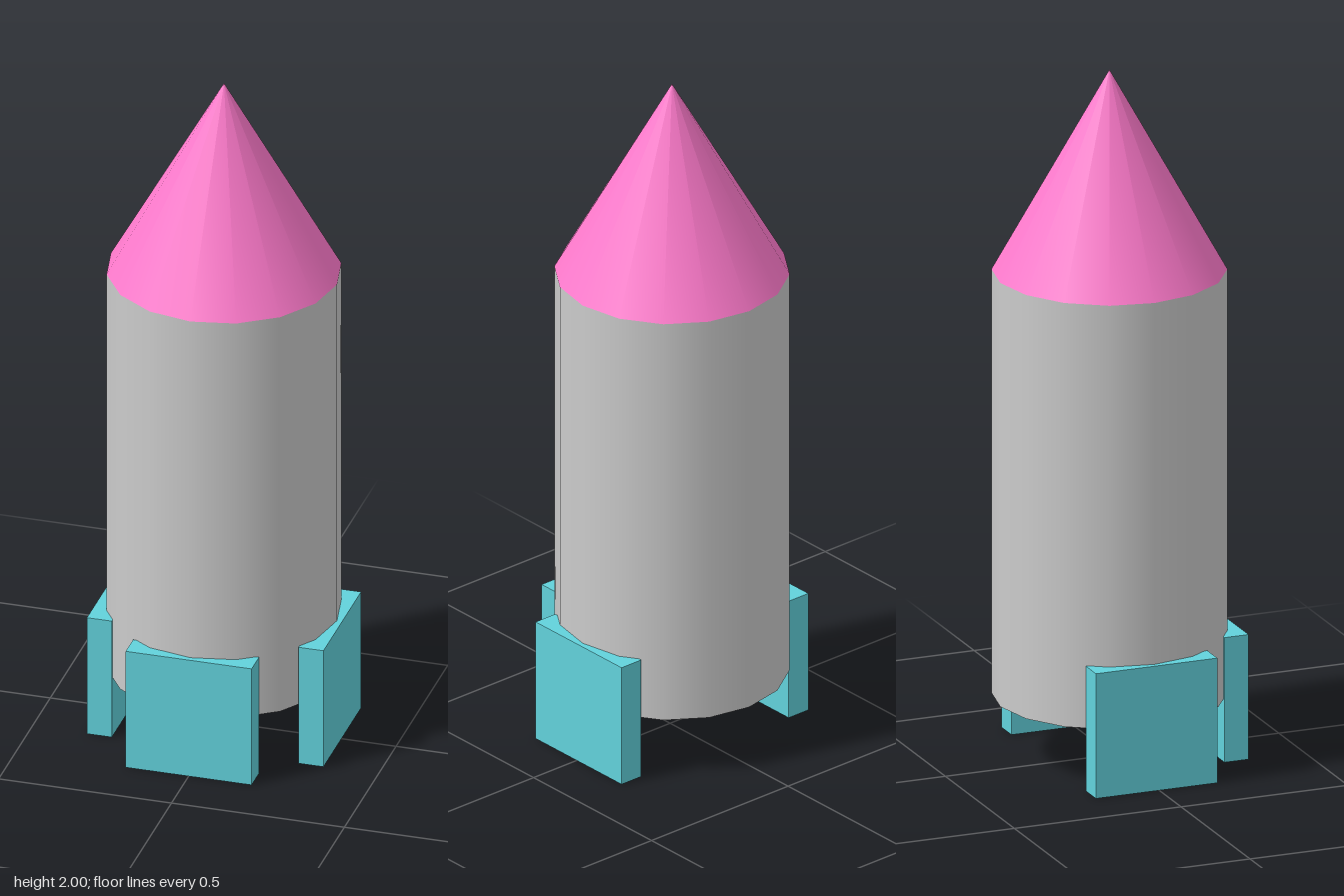
import * as THREE from 'three';

export function createModel() {
  const group = new THREE.Group();
  const grey = new THREE.MeshStandardMaterial({ color: 0xcccccc });
  const pink = new THREE.MeshStandardMaterial({ color: 0xff7acc });
  const cyan = new THREE.MeshStandardMaterial({ color: 0x62d2dc });

  const radius = 0.327, sides = 16, axisZ = -0.008;
  const bodyBottom = 0.182, bodyTop = 1.418, tip = 2;

  const add = (name, geometry, material, x, y, z) => {
    const mesh = new THREE.Mesh(geometry, material);
    mesh.name = name;
    mesh.position.set(x, y, z);
    group.add(mesh);
    return mesh;
  };

  // Closed cylindrical body
  add('body', new THREE.CylinderGeometry(radius, radius, bodyTop - bodyBottom, sides),
    grey, 0, (bodyBottom + bodyTop) / 2, axisZ);

  // Pointed nose
  add('noseCone', new THREE.ConeGeometry(radius, tip - bodyTop, sides),
    pink, 0, (bodyTop + tip) / 2, axisZ);

  // Three slab fins: left, right and front; the back stays bare
  const finSize = 0.364, finThickness = 0.072, finOffset = 0.306;
  const finGeometry = new THREE.BoxGeometry(finSize, finSize, finThickness);
  for (const [name, angle] of [['frontFin', 0], ['leftFin', Math.PI / 2], ['rightFin', -Math.PI / 2]]) {
    const fin = add(name, finGeometry, cyan,
      Math.sin(angle) * finOffset, finSize / 2, axisZ + Math.cos(angle) * finOffset);
    fin.rotation.y = angle;
  }

  return group;
}
